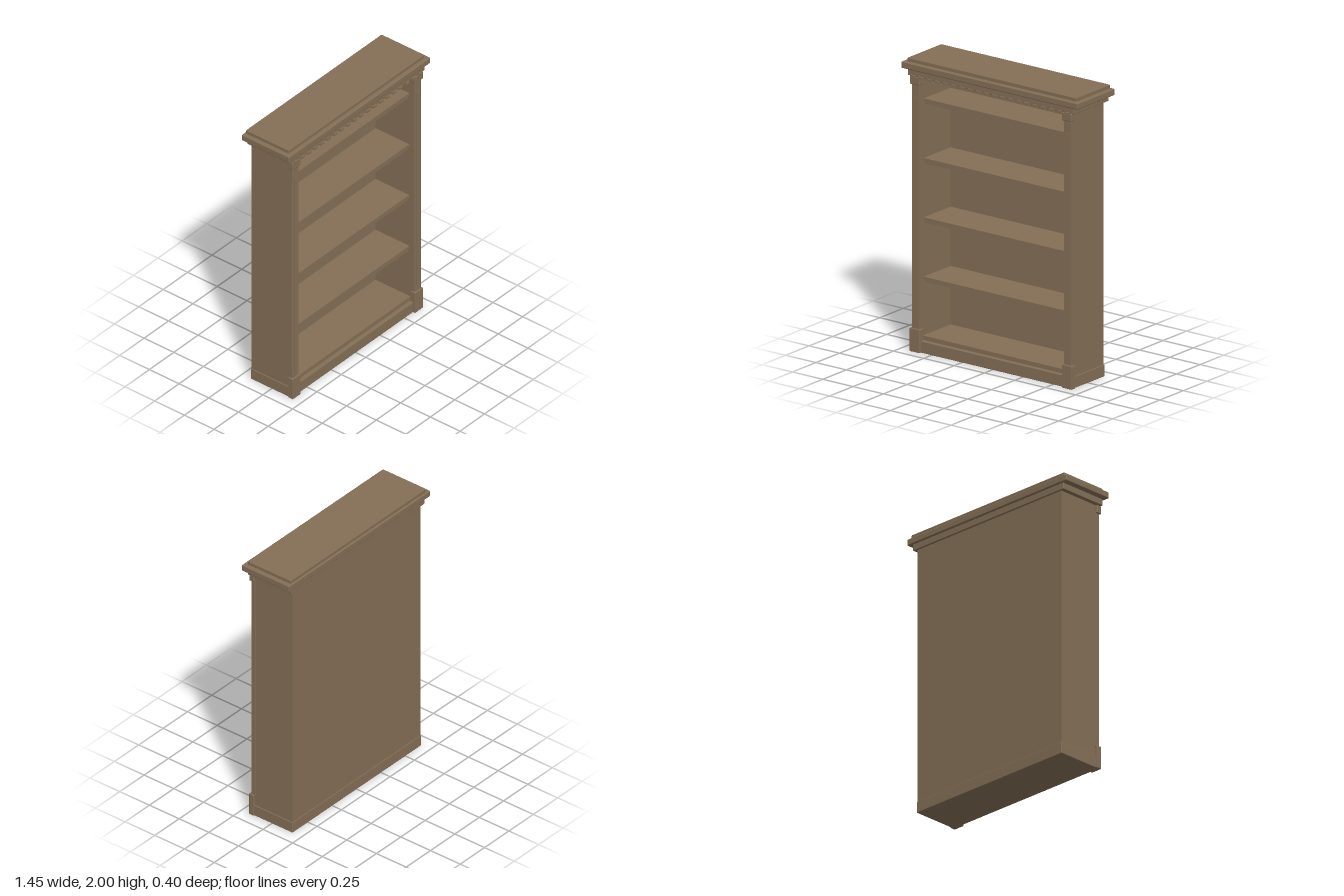
import * as THREE from 'three';
import { RoundedBoxGeometry } from 'three/addons/geometries/RoundedBoxGeometry.js';

export function createModel() {
  const model = new THREE.Group();
  model.name = 'bookcase';
  const wood = new THREE.MeshStandardMaterial({ color: 0x846f56 });
  wood.name = 'brown wood';

  // Box given by its min and max on each axis, with optional softened edges
  function board(name, [x0, x1], [y0, y1], [z0, z1], radius = 0, parent = model) {
    const size = [x1 - x0, y1 - y0, z1 - z0];
    const geometry = radius
      ? new RoundedBoxGeometry(...size, 2, radius)
      : new THREE.BoxGeometry(...size);
    const mesh = new THREE.Mesh(geometry, wood);
    mesh.name = name;
    mesh.position.set((x0 + x1) / 2, (y0 + y1) / 2, (z0 + z1) / 2);
    parent.add(mesh);
    return mesh;
  }

  // Carcass
  board('backPanel', [-0.65, 0.65], [0.07, 1.89], [-0.172, -0.155]);
  board('ceilingPanel', [-0.6, 0.6], [1.87, 1.89], [-0.156, 0.147]);
  board('base', [-0.66, 0.66], [0, 0.08], [-0.175, 0.148], 0.004);
  board('baseFront', [-0.59, 0.59], [0, 0.08], [0.14, 0.168], 0.004);
  board('bottomShelf', [-0.595, 0.595], [0.078, 0.11], [-0.156, 0.14]);

  // Side panels and pilasters, mirrored
  for (const side of [-1, 1]) {
    const group = new THREE.Group();
    group.name = side > 0 ? 'leftSide' : 'rightSide';
    const span = (a, b) => (side > 0 ? [a, b] : [-b, -a]);
    board('sidePanel', span(0.593, 0.655), [0.07, 1.89], [-0.172, 0.147], 0, group);
    board('pilaster', span(0.593, 0.659), [0.15, 1.84], [0.14, 0.174], 0.003, group);
    board('pilasterInset', span(0.61, 0.642), [0.2, 1.745], [0.172, 0.178], 0, group);
    board('plinthBlock', span(0.585, 0.668), [0, 0.16], [0.145, 0.185], 0.004, group);
    board('capital', span(0.585, 0.668), [1.83, 1.887], [0.145, 0.185], 0.006, group);
    model.add(group);
  }

  // Shelves with a thicker front lip
  for (const top of [0.51, 0.916, 1.322, 1.73]) {
    board('shelf', [-0.594, 0.594], [top - 0.022, top], [-0.156, 0.13]);
    board('shelfLip', [-0.581, 0.581], [top - 0.035, top - 0.02], [0.11, 0.13]);
  }

  // Stepped cornice
  board('frieze', [-0.685, 0.685], [1.886, 1.932], [-0.185, 0.183], 0.004);
  board('cornice', [-0.725, 0.725], [1.93, 1.975], [-0.2, 0.2], 0.007);
  board('topBoard', [-0.695, 0.695], [1.972, 2.0], [-0.188, 0.172], 0.004);

  // Row of small dentils under the frieze
  const count = 20;
  for (let i = 0; i < count; i++) {
    const x = -0.638 + (1.276 * i) / (count - 1);
    board('dentil', [x - 0.017, x + 0.017], [1.878, 1.894], [0.165, 0.192]);
  }

  return model;
}
